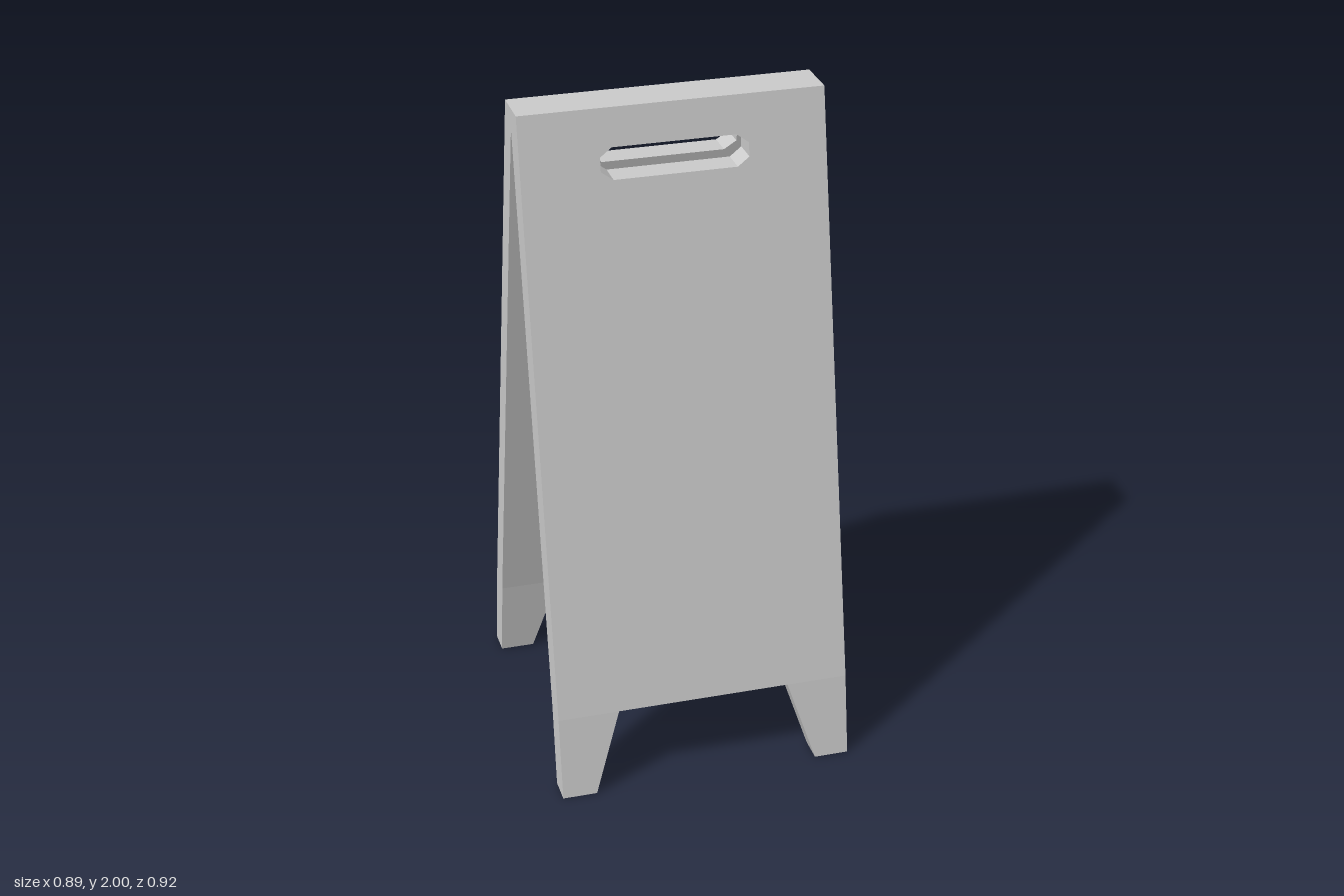
import * as THREE from 'three';

const HALF_W = 0.443, NOTCH = 0.26, FOOT = 0.34;
const FOLD = 0.25, APEX = 1.94, TOP = 2;

// Board cross-section: depth of each skin at height y, with a slight bend at the legs
const line = (y, y0, z0, y1, z1) => z0 + (z1 - z0) * (y - y0) / (y1 - y0);
const outer = y => y < FOLD ? line(y, 0, 0.46, FOLD, 0.42) : line(y, FOLD, 0.42, TOP, 0.067);
const inner = y => y < FOLD ? line(y, 0, 0.38, FOLD, 0.343)
  : Math.max(0, line(y, FOLD, 0.343, APEX, 0));

const points = list => list.map(([x, y]) => new THREE.Vector2(x, y));
const near = (a, b) => Math.abs(a - b) < 1e-5;

// Extrudes an outline, leans it between the two skins and drops faces hidden inside joints
function leaningBoard(shape) {
  const source = new THREE.ExtrudeGeometry(shape, { depth: 1, bevelEnabled: false });
  const flat = source.index ? source.toNonIndexed() : source;
  const p = flat.attributes.position;
  const kept = [];
  for (let i = 0; i < p.count; i += 3) {
    const tri = [0, 1, 2].map(k => {
      const y = p.getY(i + k);
      return [p.getX(i + k), y, THREE.MathUtils.lerp(inner(y), outer(y), p.getZ(i + k))];
    });
    const sameSide = tri.every(v => v[0] > 0) || tri.every(v => v[0] < 0);
    const hidden = tri.every(v => near(v[1], APEX)) || tri.every(v => near(v[2], 0)) ||
      (sameSide && tri.every(v => near(v[1], FOLD)));
    if (!hidden) kept.push(...tri.flat());
  }
  const geometry = new THREE.BufferGeometry();
  geometry.setAttribute('position', new THREE.Float32BufferAttribute(kept, 3));
  geometry.computeVertexNormals();
  return geometry;
}

export function createModel() {
  const model = new THREE.Group();
  model.name = 'aFrameBoard';
  const material = new THREE.MeshStandardMaterial({ color: 0xcccccc, flatShading: true });

  // Main panel with an eight-sided handle slot
  const panel = new THREE.Shape(points([
    [-HALF_W, FOLD], [-NOTCH, FOLD], [NOTCH, FOLD], [HALF_W, FOLD],
    [HALF_W, APEX], [-HALF_W, APEX],
  ]));
  panel.holes.push(new THREE.Path(points([
    [-0.18, 1.8], [-0.215, 1.825], [-0.215, 1.865], [-0.18, 1.89],
    [0.18, 1.89], [0.215, 1.865], [0.215, 1.825], [0.18, 1.8],
  ])));

  // Top ridge, where the two boards meet
  const ridge = new THREE.Shape(points([
    [-HALF_W, APEX], [HALF_W, APEX], [HALF_W, TOP], [-HALF_W, TOP],
  ]));

  // Tapered legs
  const leg = side => new THREE.Shape(points([
    [side * FOOT, 0], [side * HALF_W, 0], [side * HALF_W, FOLD], [side * NOTCH, FOLD],
  ]));

  const parts = {
    Panel: leaningBoard(panel),
    Ridge: leaningBoard(ridge),
    LeftLeg: leaningBoard(leg(1)),
    RightLeg: leaningBoard(leg(-1)),
  };

  // Front and back boards are the same, turned half a circle
  for (const [name, turn] of [['front', 0], ['back', Math.PI]]) {
    const board = new THREE.Group();
    board.name = name + 'Board';
    board.rotation.y = turn;
    for (const [part, geometry] of Object.entries(parts)) {
      const mesh = new THREE.Mesh(geometry, material);
      mesh.name = name + part;
      board.add(mesh);
    }
    model.add(board);
  }
  return model;
}
